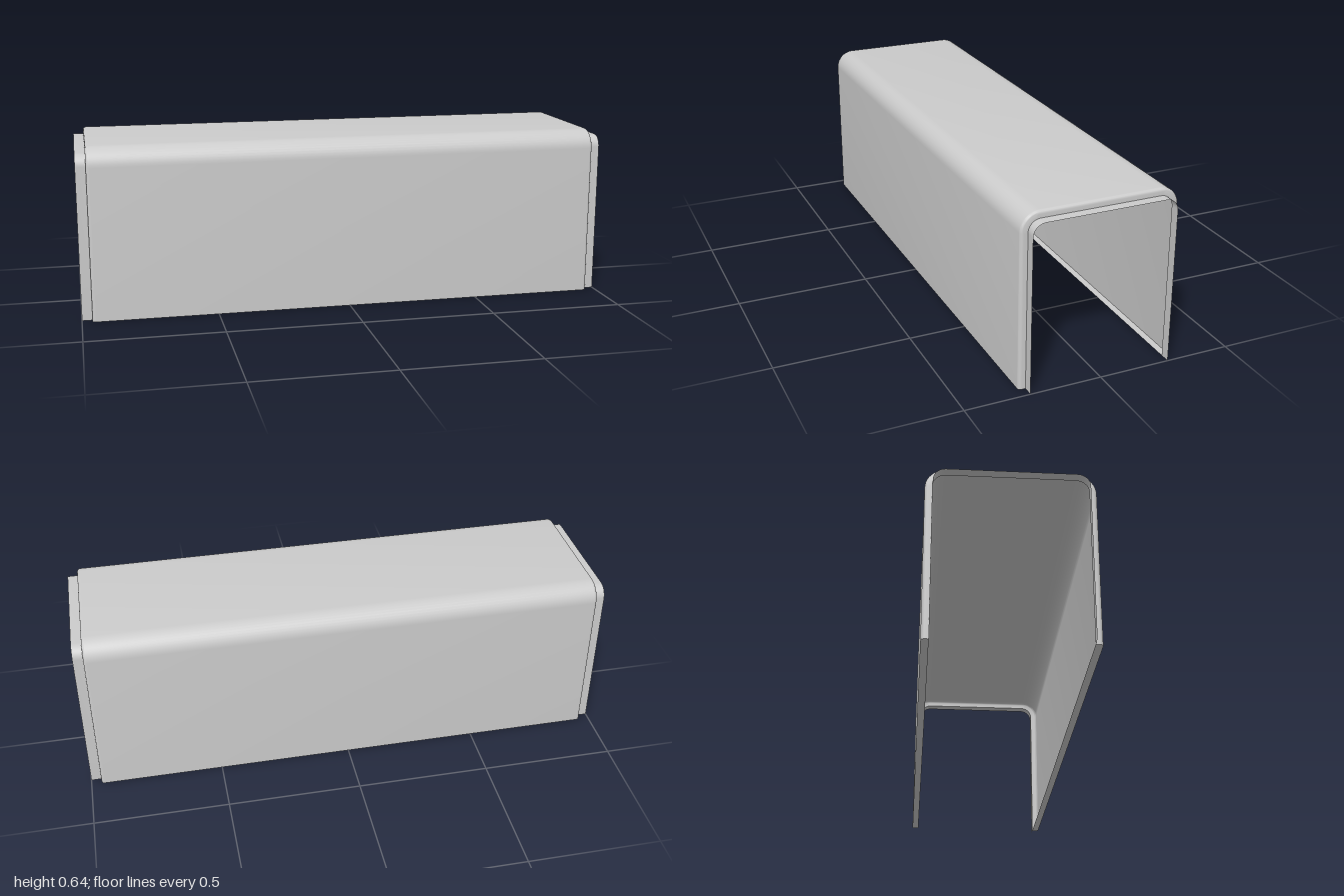
import * as THREE from 'three';
import { toCreasedNormals } from 'three/addons/utils/BufferGeometryUtils.js';

const HALF_Z = 0.289, HEIGHT = 0.64, RADIUS = 0.07; // outer channel section
const STEP = 0.026, STEP_X = 0.962, EDGE = 0.012;   // joggled ends

// Upside-down U section as [z, y], shrunk inward by the given inset
function section(inset) {
  const r = RADIUS - inset, cz = HALF_Z - RADIUS, cy = HEIGHT - RADIUS;
  const pts = [[HALF_Z - inset, 0]];
  for (const [side, start] of [[1, 0], [-1, Math.PI / 2]]) {
    for (let i = 0; i <= 10; i++) {
      const a = start + (i / 10) * Math.PI / 2;
      pts.push([side * cz + r * Math.cos(a), cy + r * Math.sin(a)]);
    }
  }
  pts.push([inset - HALF_Z, 0]);
  return pts;
}

// Lengthwise profile of the body as [x, inset]: rounded edge, then a step down
function bodyProfile() {
  const half = [];
  for (let i = 0; i <= 5; i++) {
    const a = (i / 5) * Math.PI / 2;
    half.push([STEP_X - EDGE + EDGE * Math.sin(a), EDGE * (1 - Math.cos(a))]);
  }
  half.push([STEP_X, STEP]);
  return [...half.map(([x, d]) => [-x, d]).reverse(), ...half];
}

// Skin a surface over the sections at each profile station
function loft(profile) {
  const pos = [], index = [], n = section(0).length;
  for (const [x, inset] of profile) {
    for (const [z, y] of section(inset)) pos.push(x, y, z);
  }
  for (let s = 0; s < profile.length - 1; s++) {
    for (let i = 0; i < n - 1; i++) {
      const a = s * n + i, b = a + n;
      index.push(a, b, a + 1, b, b + 1, a + 1);
    }
  }
  const geo = new THREE.BufferGeometry();
  geo.setAttribute('position', new THREE.Float32BufferAttribute(pos, 3));
  geo.setIndex(index);
  return toCreasedNormals(geo, 0.6);
}

export function createModel() {
  const group = new THREE.Group();
  group.name = 'channelCover';
  const material = new THREE.MeshStandardMaterial({ color: 0xcccccc, side: THREE.DoubleSide });
  const add = (name, geometry) => {
    const mesh = new THREE.Mesh(geometry, material);
    mesh.name = name;
    group.add(mesh);
    return mesh;
  };

  // Main folded sheet with rounded, stepped ends
  const profile = bodyProfile();
  add('coverBody', loft(profile));

  // Narrow inset flanges past each end
  add('leftEndFlange', loft([[STEP_X, STEP], [1, STEP]]));
  add('rightEndFlange', loft([[-1, STEP], [-STEP_X, STEP]]));

  // Bottom lips turned inward along both side walls
  const outline = profile.map(([x, inset]) => new THREE.Vector2(x, HALF_Z - inset));
  for (const [name, side] of [['frontLip', 1], ['backLip', -1]]) {
    const lip = new THREE.ShapeGeometry(new THREE.Shape(outline));
    lip.rotateX(side * Math.PI / 2);
    add(name, lip);
  }
  return group;
}
